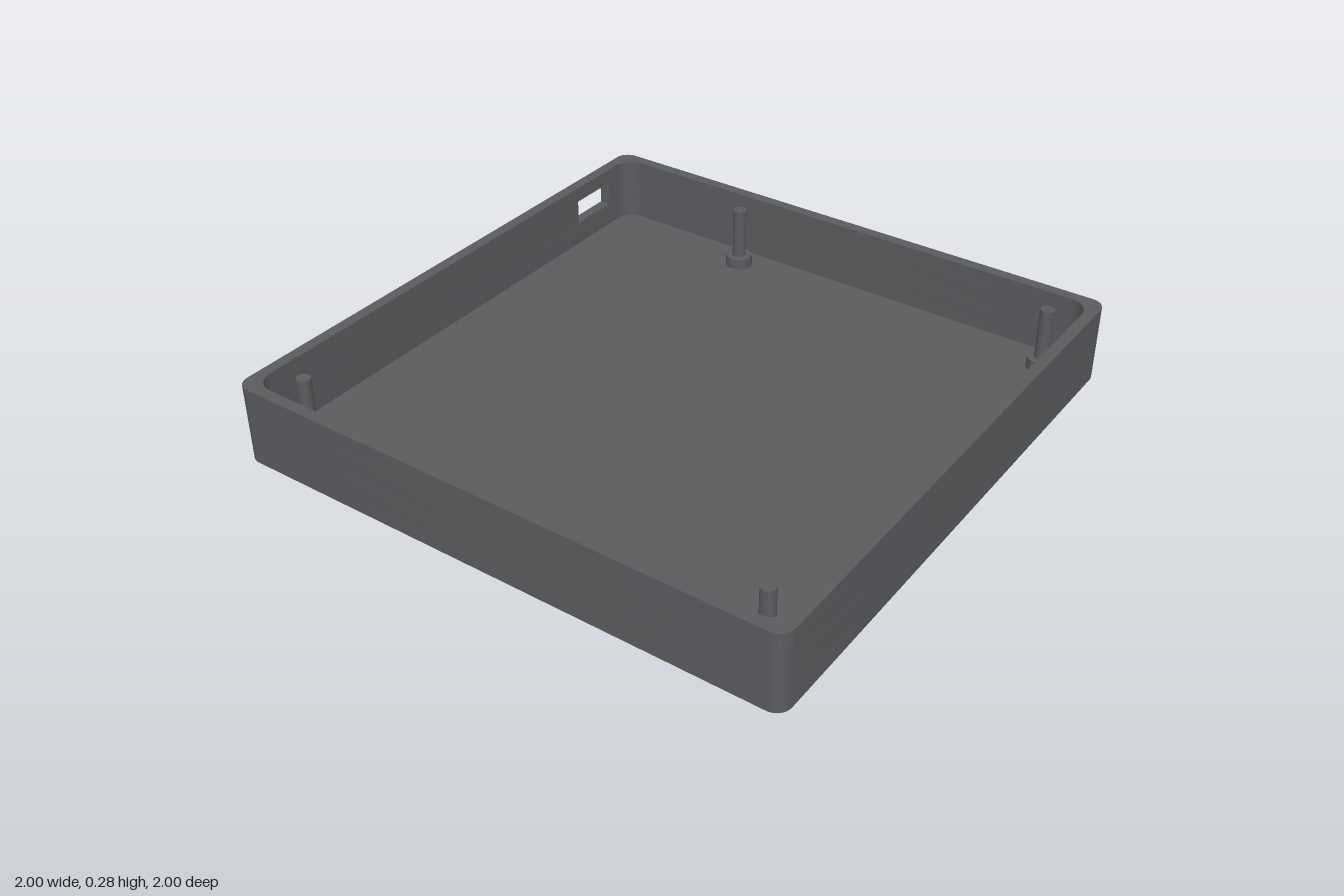
import * as THREE from 'three';
import { toCreasedNormals } from 'three/addons/utils/BufferGeometryUtils.js';

const HEIGHT = 0.275, FLOOR = 0.045, RELIEF = 0.012;
const OUTER = { half: 1, radius: 0.05 };
const INNER = { half: 0.96, radius: 0.07 };
const WINDOW = { y0: 0.13, y1: 0.22, back: 0.84, front: 0.65 };

const material = new THREE.MeshStandardMaterial({ color: 0x5a5b5e });

// Rounded square as points, clockwise from the top left corner
function roundedSquare({ half, radius }) {
  const points = [], c = half - radius, steps = 10;
  [[-c, c, Math.PI], [c, c, Math.PI / 2], [c, -c, 0], [-c, -c, -Math.PI / 2]].forEach(([x, y, start]) => {
    for (let i = 0; i <= steps; i++) {
      const a = start - (i / steps) * Math.PI / 2;
      points.push(new THREE.Vector2(x + radius * Math.cos(a), y + radius * Math.sin(a)));
    }
  });
  return points;
}

// Points stay inside the back edge of the base
const clipped = (x, y) => new THREE.Vector2(x, Math.min(y, 0.995));

// Circles and gears run counter-clockwise
function circle(x, z, r, n = 36) {
  return Array.from({ length: n }, (_, i) => {
    const a = (i / n) * Math.PI * 2;
    return clipped(x + r * Math.cos(a), -z + r * Math.sin(a));
  });
}

function gear(x, z, r, teeth) {
  const points = [], root = r - Math.min(0.045, r * 0.22);
  for (let i = 0; i < teeth; i++) {
    [[0, root], [0.45, root], [0.6, r], [0.85, r]].forEach(([t, d]) => {
      const a = ((i + t) / teeth) * Math.PI * 2;
      points.push(clipped(x + d * Math.cos(a), -z + d * Math.sin(a)));
    });
  }
  return points;
}

// Narrow zigzag groove at the back edge, counter-clockwise
function toothedGroove() {
  const centre = Array.from({ length: 9 }, (_, i) => [
    0.76 - 0.15 * i / 8 + (Math.floor(i / 2) % 2 ? 0.025 : -0.025), 0.99 - 0.31 * i / 8,
  ]);
  const side = dx => centre.map(([x, y]) => new THREE.Vector2(x + dx, y));
  return [...side(-0.006), ...side(0.006).reverse()];
}

// Horizontal slab between two heights: clockwise outline, counter-clockwise holes
function slab(name, outline, holes, y0, y1) {
  const shape = new THREE.Shape(outline);
  holes.forEach(h => shape.holes.push(new THREE.Path(h)));
  let geometry = new THREE.ExtrudeGeometry(shape, { depth: y1 - y0, bevelEnabled: false });
  geometry.rotateX(-Math.PI / 2);
  geometry.translate(0, y0, 0);
  geometry = toCreasedNormals(geometry, 0.5);
  const mesh = new THREE.Mesh(geometry, material);
  mesh.name = name;
  return mesh;
}

function cylinder(name, r, y0, y1) {
  const mesh = new THREE.Mesh(new THREE.CylinderGeometry(r, r, y1 - y0, 32), material);
  mesh.position.y = (y0 + y1) / 2;
  mesh.name = name;
  return mesh;
}

export function createModel() {
  const model = new THREE.Group();
  model.name = 'openCase';
  const outer = roundedSquare(OUTER);
  const inner = roundedSquare(INNER).reverse();

  // Engraved gears on the underside: x, z, radius, hub radius, teeth, bore radius
  const gears = [
    [0.41, 0.20, 0.31, 0.21, 17, 0], [0.55, -0.40, 0.25, 0.13, 14, 0],
    [0.22, -0.24, 0.10, 0.075, 12, 0], [0, -0.55, 0.21, 0.07, 14, 0],
    [-0.10, -0.05, 0.21, 0.10, 13, 0], [-0.48, 0.08, 0.155, 0.095, 12, 0.07],
    [-0.59, -0.15, 0.095, 0.06, 10, 0], [-0.31, -0.50, 0.08, 0.05, 10, 0],
    [-0.57, -0.71, 0.22, 0.12, 14, 0.09], [-0.18, -0.94, 0.19, 0.11, 13, 0],
    [-0.24, -0.68, 0.05, 0.03, 8, 0], [-0.38, -0.27, 0.07, 0.04, 9, 0],
  ];
  const pockets = gears.map(([x, z, r, , teeth]) => gear(x, z, r, teeth));
  model.add(slab('engravedUnderside', outer, [...pockets, toothedGroove()], 0, RELIEF));
  gears.forEach(([x, z, , hub, , bore]) => {
    const holes = bore ? [circle(x, z, bore)] : [];
    model.add(slab('gearHub', circle(x, z, hub).reverse(), holes, 0, RELIEF));
  });

  // Floor and the walls below and above the window
  model.add(slab('floor', outer, [], RELIEF, FLOOR));
  model.add(slab('lowerWall', outer, [inner], FLOOR, WINDOW.y0));
  model.add(slab('upperWall', outer, [inner], WINDOW.y1, HEIGHT));

  // Wall band interrupted by the connector window in the -x side
  const band = [
    new THREE.Vector2(-OUTER.half, WINDOW.back), ...outer, new THREE.Vector2(-OUTER.half, WINDOW.front),
    new THREE.Vector2(-INNER.half, WINDOW.front), ...inner, new THREE.Vector2(-INNER.half, WINDOW.back),
  ];
  model.add(slab('windowWall', band, [], WINDOW.y0, WINDOW.y1));

  // Mounting posts: wide foot with a slim pin
  [[-0.373, -0.865], [0.852, -0.86], [0.852, 0.847], [-0.863, 0.847]].forEach(([x, z]) => {
    const post = new THREE.Group();
    post.name = 'mountingPost';
    post.add(cylinder('postFoot', 0.048, FLOOR - 0.005, 0.085), cylinder('postPin', 0.024, 0.08, 0.27));
    post.position.set(x, 0, z);
    model.add(post);
  });

  return model;
}
